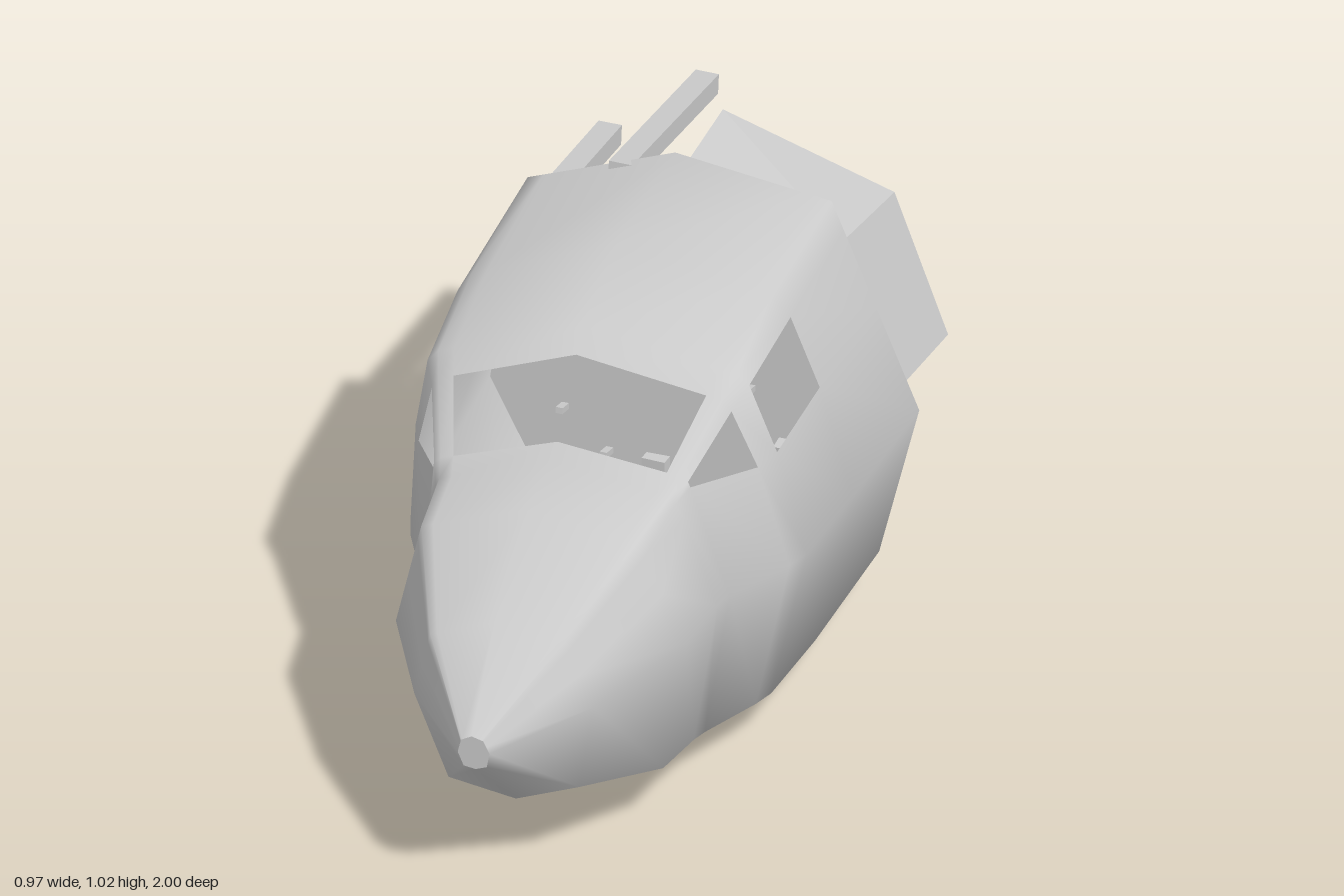
import * as THREE from 'three';
import { ConvexGeometry } from 'three/addons/geometries/ConvexGeometry.js';

const V = (p) => new THREE.Vector3(...p);
const mix = (a, b, t) => a.map((v, i) => v + (b[i] - v) * t);
const material = new THREE.MeshStandardMaterial({ color: 0xcccccc, side: THREE.DoubleSide });

// Tail to nose: z, ridge y, keel y, roof corner, side corner
const stations = [
  [0, .515, -.505, [.345, .425], [.487, -.075]],
  [.38, .507, -.512, [.34, .405], [.47, -.075]],
  [.62, .44, -.505, [.338, .35], [.45, -.08]],
  [.675, .4, -.5, [.322, .315], [.43, -.08]],
  [.835, .277, -.482, [.272, .215], [.352, -.07]],
  [.88, .256, -.475, [.262, .19], [.34, -.07]],
  [1.05, .23, -.445, [.245, .172], [.33, -.068]],
  [1.3, .095, -.335, [.15, .055], [.203, -.095]],
  [1.5, -.07, -.15, [.025, -.08], [.036, -.11]],
];

// Top and bottom window line where it bulges, by station
const windowLine = {
  1: [[.378, .358], [.425, .19]],
  2: [[.365, .325], [.41, .165]],
  3: [[.34, .29], [.385, .157]],
  4: [[.288, .203], [.292, .19]],
  5: [[.272, .172], [.288, .135]],
};

// Closed eight-cornered ring with extra points at the window edges
function ring([z, ridgeY, keelY, roof, side], i) {
  const ridge = [0, ridgeY], keel = [0, keelY];
  const windows = windowLine[i] ?? [mix(roof, side, .14), mix(roof, side, .51)];
  const lower = [side[0] * .73, side[1] + (keelY - side[1]) * .83];
  const right = [mix(ridge, roof, .89), roof, ...windows, side, lower];
  const left = right.map(([x, y]) => [-x, y]).reverse();
  return [ridge, ...right, keel, ...left].map(([x, y]) => [x, y, z]);
}

// Skin between rings; isOpen(i, j) leaves a window
function loft(rings, isOpen) {
  const n = rings[0].length, index = [];
  for (let i = 0; i < rings.length - 1; i++) {
    for (let j = 0; j < n; j++) {
      if (isOpen(i, j)) continue;
      const a = i * n + j, b = i * n + (j + 1) % n;
      index.push(a, a + n, b, b, a + n, b + n);
    }
  }
  const g = new THREE.BufferGeometry();
  g.setAttribute('position', new THREE.Float32BufferAttribute(rings.flat(2), 3));
  g.setIndex(index);
  g.computeVertexNormals();
  return g;
}

// Flat end plate on a ring
function plate(points, facesFront) {
  const shape = new THREE.Shape(points.map(([x, y]) => new THREE.Vector2(x, y)));
  const g = new THREE.ShapeGeometry(shape);
  if (!facesFront) g.rotateY(Math.PI); // sections are symmetric in x
  return g.translate(0, 0, points[0][2]);
}

export function createModel() {
  const model = new THREE.Group();
  const add = (name, geometry, parent = model) => {
    const mesh = new THREE.Mesh(geometry, material);
    mesh.name = name;
    parent.add(mesh);
    return mesh;
  };

  // Nose section, lying rolled and slightly turned
  const hull = new THREE.Group();
  hull.name = 'hull';
  hull.position.set(.0075, .512, -.5);
  hull.rotation.set(0, .022, .113);
  model.add(hull);
  const rings = stations.map(ring);
  const windshield = (i, j) => i === 3 && (j === 0 || j === 13);
  const sideWindow = (i, j) => (i === 1 || i === 3) && (j === 3 || j === 10);
  add('fuselageSkin', loft(rings, (i, j) => windshield(i, j) || sideWindow(i, j)), hull);
  add('rearBulkhead', plate(rings[0], false), hull);
  add('noseTip', plate(rings[rings.length - 1], true), hull);

  // Torn skin panels: points along the break, and where each reaches behind it
  const panels = {
    upperPanel: [
      [[-.045, .965, -.49], [-.04, .985, -.76]],
      [[.332, .887, -.49], [.35, .862, -.76]],
      [[.455, .54, -.49], [.47, .53, -.765]],
    ],
    lowerPanel: [
      [[.37, .27, -.49], [.36, .315, -.77]],
      [[.03, .055, -.49], [0, .09, -.82]],
      [[-.35, .165, -.49], [-.37, .2, -.85]],
    ],
    leftoverPanel: [
      [[-.43, .58, -.49], [-.41, .58, -.865]],
      [[-.22, .88, -.49], [-.19, .88, -.85]],
    ],
  };
  const inner = ([x, y, z]) => [x * .97, .5 + (y - .5) * .97, z];
  for (const [name, points] of Object.entries(panels)) {
    for (let k = 0; k < points.length - 1; k++) {
      const outer = [...points[k], ...points[k + 1]];
      add(name, new ConvexGeometry([...outer, ...outer.map(inner)].map(V)));
    }
  }

  // Bar between two points
  function bar(name, from, to, width, height) {
    const a = V(from), b = V(to);
    const mesh = add(name, new THREE.BoxGeometry(width, height, a.distanceTo(b)));
    mesh.position.copy(a).lerp(b, .5);
    mesh.lookAt(b);
  }

  // Broken frame beams sticking out behind
  const beams = [
    [[-.385, .775, -.47], [-.385, .72, -.995]],
    [[-.165, .965, -.47], [-.155, .91, -.97]],
    [[-.07, .61, -.47], [-.065, .53, -.98]],
    [[.21, .335, -.47], [.21, .375, -.91]],
    [[-.4, .53, -.47], [-.36, .36, -.88]],
    [[.33, .54, -.47], [.31, .71, -.8]],
  ];
  for (const [a, b] of beams) bar('brokenBeam', a, b, .053, .046);
  bar('flatBeam', [-.09, .25, -.47], [-.07, .25, -.88], .053, .03);

  // Thin stubs poking through the bulkhead
  const stubs = [[.15, .8], [.05, .7], [.12, .47], [-.3, .62], [-.3, .34], [-.2, .25], [.38, .43]];
  for (const [x, y] of stubs) bar('stub', [x, y + .01, -.46], [x + .01, y - .015, -.62], .016, .014);

  return model;
}
